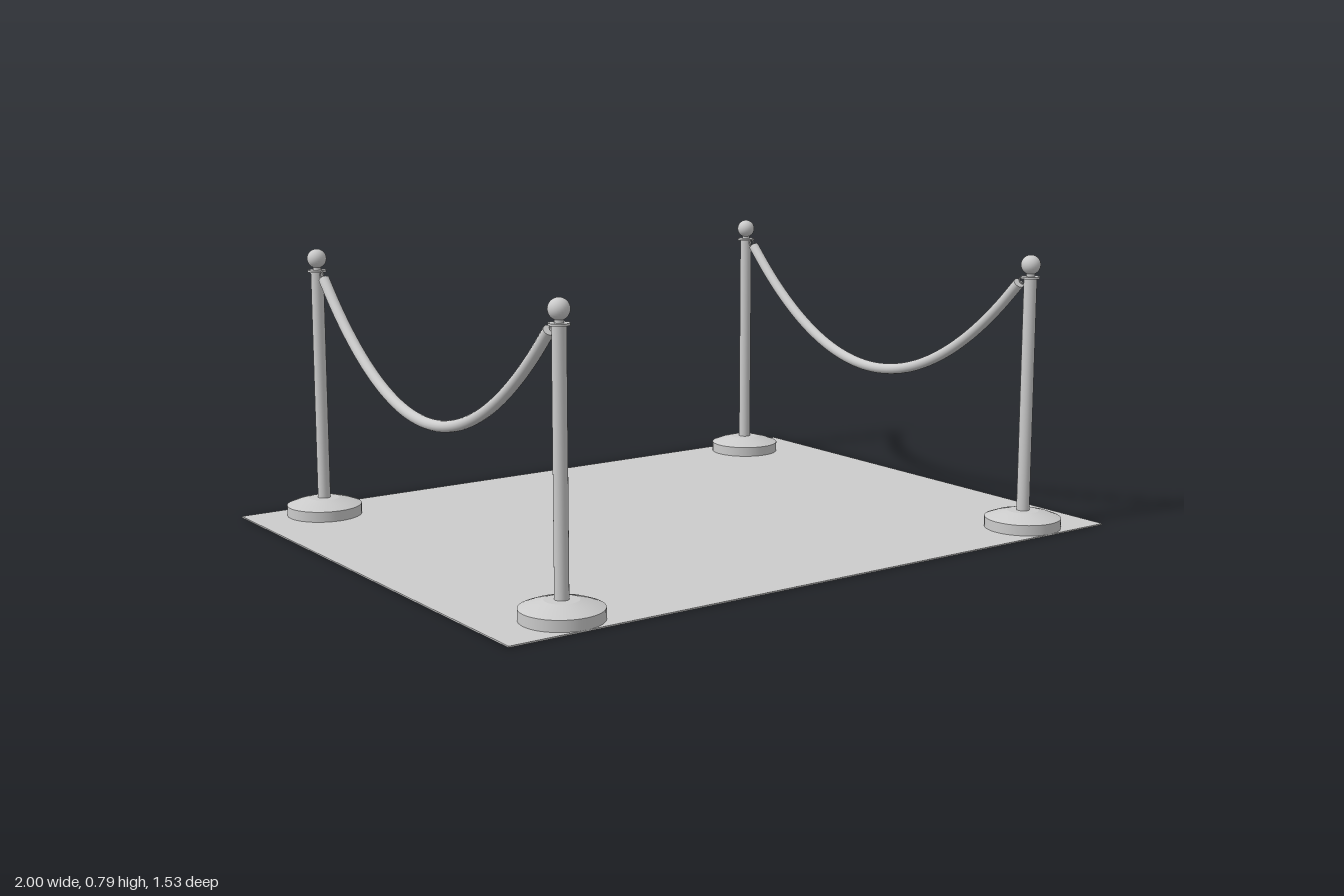
import * as THREE from 'three';

const POST_X = 0.785, POST_Z = 0.656, CARPET_H = 0.004;

export function createModel() {
  const model = new THREE.Group();
  model.name = 'ropeBarrier';
  const material = new THREE.MeshStandardMaterial({ color: 0xcccccc });

  const add = (parent, name, geometry, x = 0, y = 0, z = 0) => {
    const mesh = new THREE.Mesh(geometry, material);
    mesh.name = name;
    mesh.position.set(x, y, z);
    parent.add(mesh);
    return mesh;
  };

  // Thin carpet
  add(model, 'carpet', new THREE.BoxGeometry(2, CARPET_H, 1.53), 0, CARPET_H / 2, 0);

  // Base profile; repeated points keep the rims sharp
  const baseProfile = [
    [0, 0.002], [0.109, 0.002], [0.109, 0.002], [0.109, 0.034], [0.109, 0.034],
    [0.08, 0.045], [0.045, 0.054], [0.045, 0.054], [0, 0.055],
  ].map(([r, y]) => new THREE.Vector2(r, y));
  const baseGeo = new THREE.LatheGeometry(baseProfile, 40);
  const poleGeo = new THREE.CylinderGeometry(0.0185, 0.0185, 0.68, 24);
  const collarGeo = new THREE.CylinderGeometry(0.027, 0.027, 0.006, 24);
  const neckGeo = new THREE.CylinderGeometry(0.012, 0.012, 0.02, 16);
  const ballGeo = new THREE.SphereGeometry(0.028, 24, 16);
  const ringGeo = new THREE.TorusGeometry(0.0105, 0.002, 8, 20);

  // Sagging rope between the two posts of one side
  const points = [];
  for (let i = 0; i <= 16; i++) {
    const t = i / 8 - 1;
    points.push(new THREE.Vector3(0, 0.381 + 0.326 * t * t, 0.612 * t));
  }
  const ropeCurve = new THREE.CatmullRomCurve3(points);
  const ropeGeo = new THREE.TubeGeometry(ropeCurve, 56, 0.016, 16);
  const capGeo = new THREE.CircleGeometry(0.016, 16);

  for (const sx of [-1, 1]) {
    const side = sx > 0 ? 'left' : 'right';
    for (const sz of [-1, 1]) {
      const post = new THREE.Group();
      post.name = `${side}${sz > 0 ? 'Front' : 'Back'}Post`;
      post.position.set(sx * POST_X, 0, sz * POST_Z);
      model.add(post);
      add(post, 'base', baseGeo);
      add(post, 'pole', poleGeo, 0, 0.39, 0);
      add(post, 'collar', collarGeo, 0, 0.727, 0);
      add(post, 'neck', neckGeo, 0, 0.735, 0);
      add(post, 'ball', ballGeo, 0, 0.763, 0);
      // Ring joining the rope to the collar
      add(post, 'ring', ringGeo, 0, 0.717, -sz * 0.031).rotation.y = Math.PI / 2;
    }

    const rope = new THREE.Group();
    rope.name = `${side}Rope`;
    rope.position.x = sx * POST_X;
    model.add(rope);
    add(rope, 'cord', ropeGeo);
    // Flat rope ends
    for (const t of [0, 1]) {
      const p = ropeCurve.getPoint(t);
      const out = ropeCurve.getTangent(t).multiplyScalar(t ? 1 : -1);
      add(rope, 'ropeEnd', capGeo, p.x, p.y, p.z)
        .quaternion.setFromUnitVectors(new THREE.Vector3(0, 0, 1), out);
    }
  }
  return model;
}
